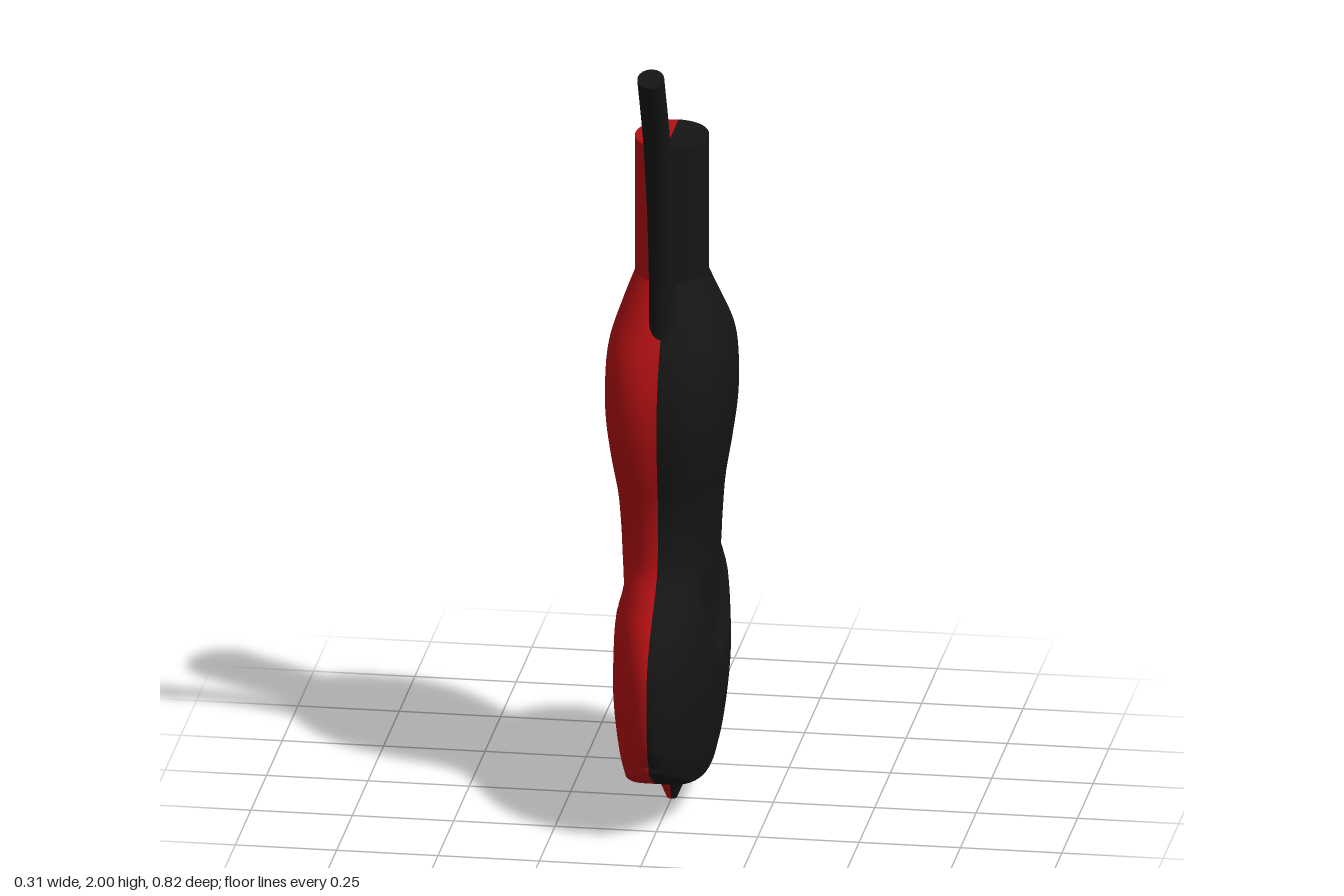
import * as THREE from 'three';

const red = new THREE.MeshStandardMaterial({ color: 0xb01012 });
const black = new THREE.MeshStandardMaterial({ color: 0x151515 });
const { smoothstep, clamp } = THREE.MathUtils;

// Smooth surface from point(i, j); faces outward where (i direction) x (j direction) points out
function grid(rows, cols, wrap, point) {
  const pos = [], index = [];
  const n = wrap ? cols : cols + 1;
  for (let i = 0; i <= rows; i++) for (let j = 0; j < n; j++) pos.push(...point(i, j));
  for (let i = 0; i < rows; i++) for (let j = 0; j < cols; j++) {
    const a = i * n + j, b = i * n + (j + 1) % n;
    index.push(a, a + n, b, b, a + n, b + n);
  }
  const g = new THREE.BufferGeometry();
  g.setAttribute('position', new THREE.Float32BufferAttribute(pos, 3));
  g.setIndex(index);
  g.computeVertexNormals();
  return g;
}

// Two-tone part: black where x > 0, red where x < 0, sharing the same normals
function twoTone(name, geometry) {
  const part = new THREE.Group();
  part.name = name;
  const p = geometry.attributes.position, src = geometry.index.array;
  for (const side of [1, -1]) {
    const index = [];
    for (let t = 0; t < src.length; t += 3) {
      const x = p.getX(src[t]) + p.getX(src[t + 1]) + p.getX(src[t + 2]);
      if (x * side > 0) index.push(src[t], src[t + 1], src[t + 2]);
    }
    const half = geometry.clone();
    half.setIndex(index);
    const mesh = new THREE.Mesh(half, side > 0 ? black : red);
    mesh.name = name + (side > 0 ? 'LeftHalf' : 'RightHalf');
    part.add(mesh);
  }
  return part;
}

// Body profile: half width in x, height at the front and back edge, half depth in z
const PROFILE = [
  [0.098, 0.21, 0.375], [0.113, 0.26, 0.398], [0.13, 0.37, 0.41], [0.13, 0.46, 0.4],
  [0.127, 0.53, 0.36], [0.12, 0.6, 0.29], [0.117, 0.66, 0.24], [0.12, 0.74, 0.222],
  [0.125, 0.82, 0.222], [0.14, 0.92, 0.24], [0.153, 1.02, 0.25], [0.155, 1.11, 0.243],
  [0.148, 1.2, 0.213], [0.12, 1.29, 0.16], [0.09, 1.37, 0.105],
].map(p => new THREE.Vector3(...p));
const ROWS = 110, COLS = 96;
const rings = new THREE.CatmullRomCurve3(PROFILE).getSpacedPoints(ROWS);

function bodyPoint(ring, angle) {
  const c = Math.cos(angle), s = Math.sin(angle);
  // Oval at the base and neck, boxier through the upper body
  const n = 2 + 0.7 * smoothstep(ring.y, 0.65, 0.95) * (1 - smoothstep(ring.y, 1.15, 1.37));
  let x = ring.x * Math.sign(c) * Math.abs(c) ** (2 / n);
  const z = ring.z * Math.sign(s) * Math.abs(s) ** (2 / n);
  // The lower rings sag in the middle to follow the curved underside
  const sag = clamp((0.535 - ring.y) / 0.325, 0, 1);
  const y = ring.y - 0.113 * sag * (1 - Math.abs(s) ** 2.5);
  // Shallow scoop on each flank, fading out towards the waist
  const r = Math.hypot(z / 0.19, (y - 0.62) / 0.24);
  x -= Math.sign(x) * 0.022 * (1 - smoothstep(r, 0.75, 1)) * (1 - smoothstep(y, 0.5, 0.68))
    * Math.min(1, Math.abs(c) * 2);
  return [Math.abs(c) < 1e-6 ? 0 : x, y, z];
}

export function createModel() {
  const model = new THREE.Group();
  model.name = 'model';

  // Body shell
  model.add(twoTone('body', grid(ROWS, COLS, true,
    (i, j) => bodyPoint(rings[i], j / COLS * Math.PI * 2))));

  // Curved underside with softly rounded long edges
  model.add(twoTone('underside', grid(16, COLS / 2, false, (i, j) => {
    const k = Math.sin((i / 8 - 1) * Math.PI / 2);
    const [x, y, z] = bodyPoint(rings[0], (j / (COLS / 2) - 0.5) * Math.PI);
    return [i === 8 ? 0 : x * k, y - 0.014 * (1 - k ** 6), z];
  })));

  // Oval neck
  const neck = new THREE.CylinderGeometry(1, 1, 0.38, 64);
  neck.scale(0.09, 1, 0.105);
  neck.translate(0, 1.53, 0);
  model.add(twoTone('neck', neck));

  // Pointed foot
  const foot = new THREE.CylinderGeometry(0.055, 0.012, 0.1, 32);
  foot.translate(0, 0.05, 0);
  model.add(twoTone('foot', foot));

  // Curved cable rising from the front shoulder
  const path = new THREE.CatmullRomCurve3([
    [1.2, 0.152], [1.3, 0.152], [1.42, 0.157], [1.6, 0.187], [1.8, 0.25], [1.985, 0.34],
  ].map(([y, z]) => new THREE.Vector3(0, y, z)));
  const cable = new THREE.Mesh(new THREE.TubeGeometry(path, 48, 0.033, 24), black);
  cable.name = 'cable';
  model.add(cable);

  // Flat cable end
  const end = new THREE.Mesh(new THREE.CircleGeometry(0.033, 24), black);
  end.name = 'cableEnd';
  end.position.copy(path.getPoint(1));
  end.lookAt(end.position.clone().add(path.getTangent(1)));
  model.add(end);

  return model;
}
